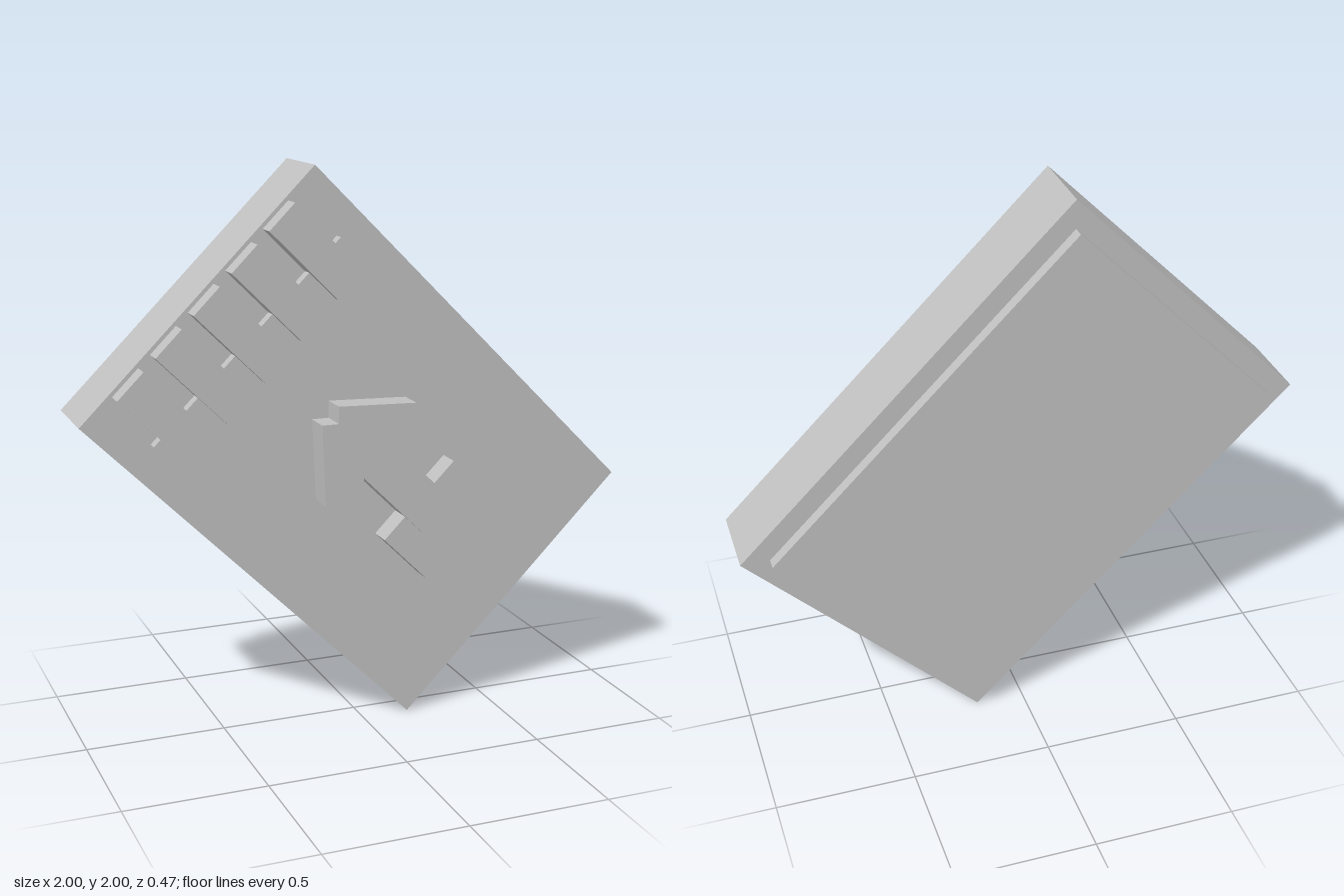
import * as THREE from 'three';

export function createModel() {
  const model = new THREE.Group();
  model.name = 'memoryCard';
  const grey = new THREE.MeshStandardMaterial({ color: 0xc0c0c0 });
  grey.name = 'grey';

  // the card stands on one corner, turned 45 degrees about its centre
  const card = new THREE.Group();
  card.name = 'card';
  card.position.y = 1;
  card.rotation.z = Math.PI / 4;
  model.add(card);

  // box given by its limits in the card's own axes
  function slab(name, u0, u1, v0, v1, z0, z1) {
    const mesh = new THREE.Mesh(new THREE.BoxGeometry(u1 - u0, v1 - v0, z1 - z0), grey);
    mesh.position.set((u0 + u1) / 2, (v0 + v1) / 2, (z0 + z1) / 2);
    mesh.name = name;
    card.add(mesh);
  }

  slab('body', -0.584, 0.584, -0.83, 0.83, -0.19, 0.094);
  slab('backPlate', -0.512, 0.512, -0.758, 0.758, -0.235, -0.185);
  slab('frontPanel', -0.469, 0.469, -0.739, 0.608, 0.09, 0.135);

  // row of contacts along the top edge
  for (let i = 0; i < 5; i++) {
    const u = -0.372 + 0.186 * i;
    slab('contact' + (i + 1), u - 0.064, u + 0.064, 0.477, 0.817, 0.09, 0.164);
  }

  // block behind the arrow's tail
  slab('arrowBase', -0.184, 0.184, -0.454, -0.225, 0.13, 0.222);

  // raised arrow: two crossed head bars and a diagonal shaft
  const outline = [
    [-0.145, 1.205], [-0.145, 1.145], [-0.205, 1.145], [-0.193, 0.86],
    [-0.053, 0.867], [-0.053, 0.945], [0.165, 0.728], [0.275, 0.837],
    [0.058, 1.053], [0.135, 1.055], [0.14, 1.195],
  ].map(([x, y]) => new THREE.Vector2(x, y));
  const arrow = new THREE.Mesh(
    new THREE.ExtrudeGeometry(new THREE.Shape(outline), { depth: 0.104, bevelEnabled: false }), grey);
  arrow.position.z = 0.13;
  arrow.name = 'arrow';
  model.add(arrow);

  return model;
}
